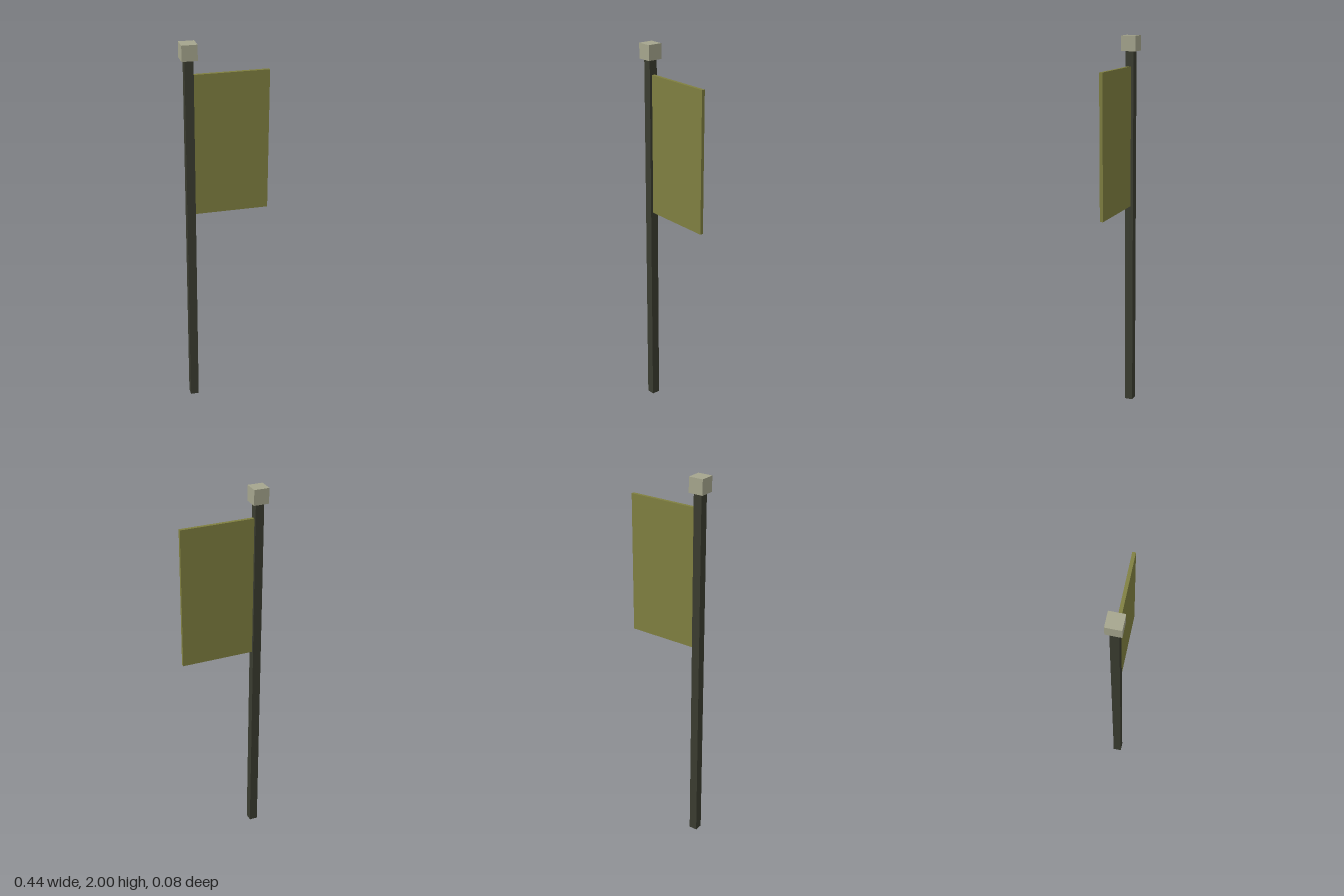
import * as THREE from 'three';

const material = (name, color) => {
  const m = new THREE.MeshStandardMaterial({ color });
  m.name = name;
  return m;
};

export function createModel() {
  const group = new THREE.Group();
  group.name = 'bannerPole';

  const darkOlive = material('dark olive', 0x3a3c30);
  const olive = material('olive', 0x7f7f40);
  const paleStone = material('pale stone', 0xa5a58d);

  // Box spanning the given min and max corners
  const box = (name, mat, min, max) => {
    const size = max.map((v, i) => v - min[i]);
    const mesh = new THREE.Mesh(new THREE.BoxGeometry(...size), mat);
    mesh.position.set(...max.map((v, i) => (v + min[i]) / 2));
    mesh.name = name;
    group.add(mesh);
  };

  // Square post, cube cap and hanging cloth
  const poleX = -0.182, poleHalf = 0.022, capHalf = 0.039;
  box('pole', darkOlive, [poleX - poleHalf, 0, -poleHalf], [poleX + poleHalf, 1.922, poleHalf]);
  box('finial', paleStone, [poleX - capHalf, 1.922, -capHalf], [poleX + capHalf, 2, capHalf]);
  box('banner', olive, [poleX + poleHalf, 1.11, -0.0085], [0.221, 1.845, 0.0085]);

  return group;
}
